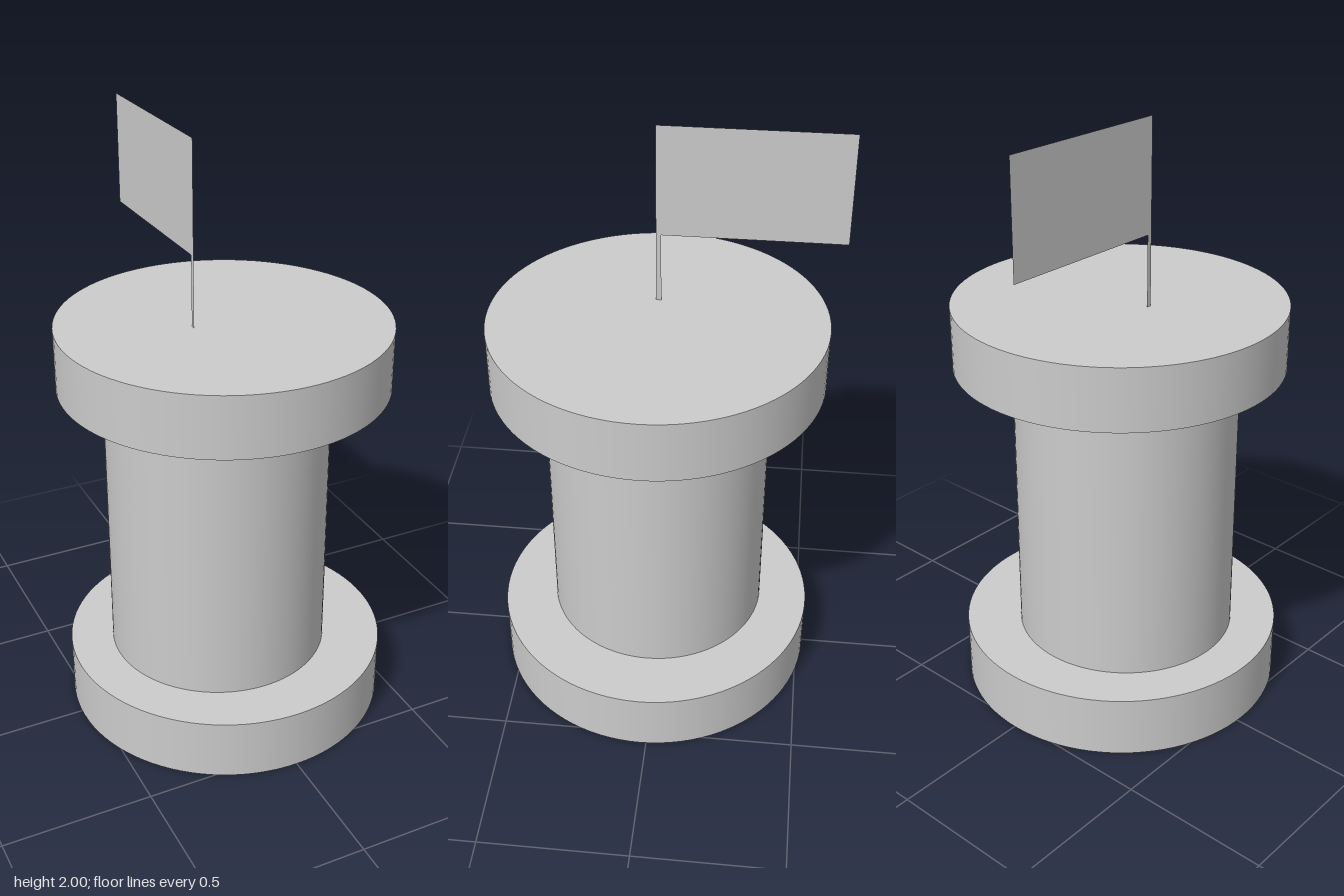
import * as THREE from 'three';

export function createModel() {
  const group = new THREE.Group();
  const material = new THREE.MeshStandardMaterial({ color: 0xcccccc });

  // Upright cylinder from y0 to y1, centred on (x, z)
  const drum = (name, radius, y0, y1, x, z) => {
    const mesh = new THREE.Mesh(new THREE.CylinderGeometry(radius, radius, y1 - y0, 96), material);
    mesh.name = name;
    mesh.position.set(x, (y0 + y1) / 2, z);
    group.add(mesh);
  };

  // Spool-shaped tower
  drum('base', 0.546, 0, 0.21, -0.002, 0.023);
  drum('column', 0.373, 0.21, 1.183, -0.028, 0.018);
  drum('topPlatform', 0.546, 1.183, 1.392, -0.002, 0.015);

  // Paper-thin pole and flag, standing in a plane facing sideways
  const thin = new THREE.MeshStandardMaterial({ color: 0xcccccc, side: THREE.DoubleSide });
  const panel = (name, z0, z1, y0, y1) => {
    const mesh = new THREE.Mesh(new THREE.PlaneGeometry(z0 - z1, y1 - y0), thin);
    mesh.name = name;
    mesh.rotation.y = Math.PI / 2;
    mesh.position.set(-0.115, (y0 + y1) / 2, (z0 + z1) / 2);
    group.add(mesh);
  };
  panel('flagPole', 0.033, 0.016, 1.392, 1.63);
  panel('flag', 0.033, -0.567, 1.63, 2);

  return group;
}
